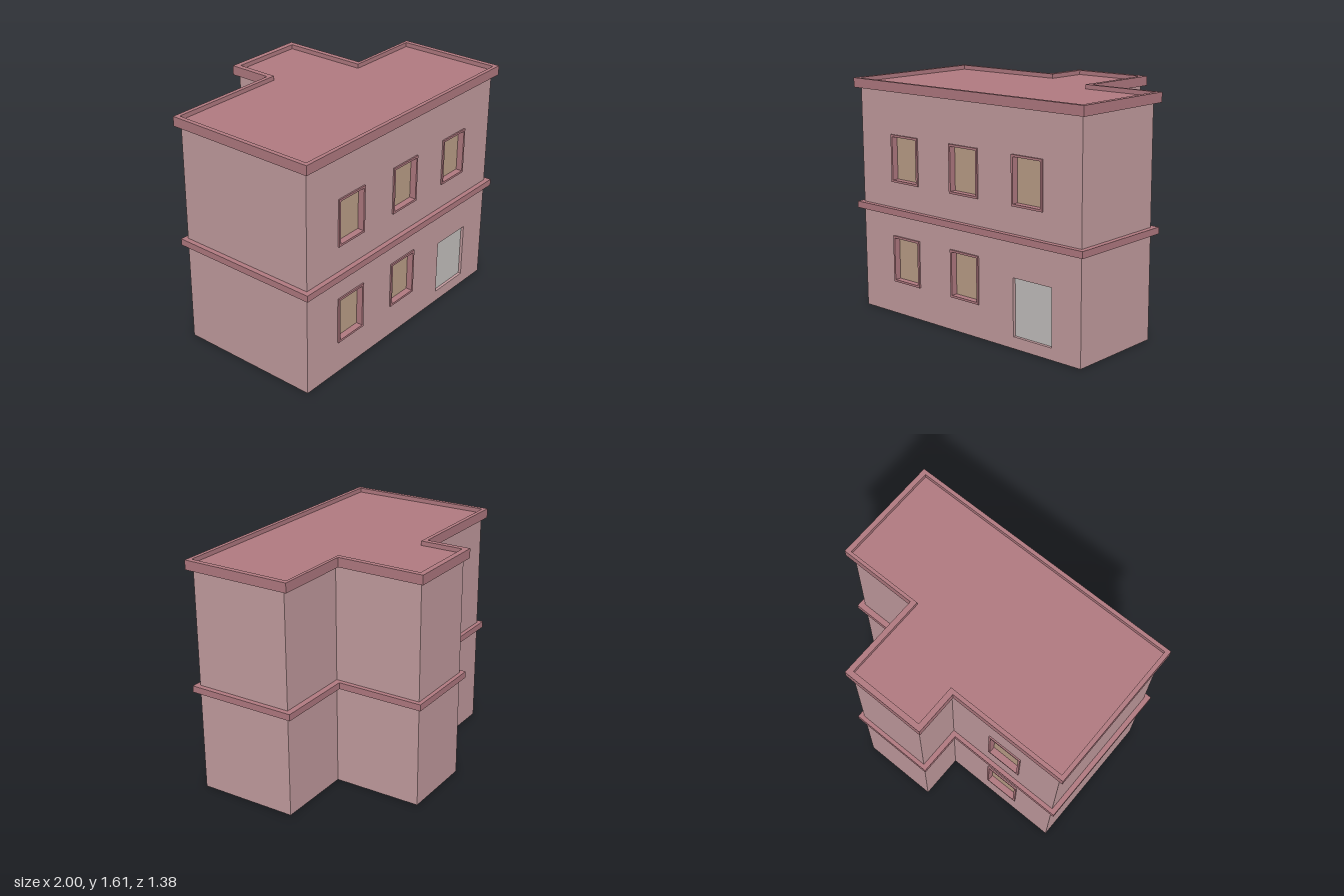
import * as THREE from 'three';

const material = (name, color) => {
  const m = new THREE.MeshStandardMaterial({ color });
  m.name = name;
  return m;
};

// Stepped footprint: main block with a rear wing. Shape y is -z.
function footprint({ x0, x1, front, wing0, wing1, back, backL, backR }) {
  return [
    [x0, front], [x1, front], [x1, backR], [wing1, backR],
    [wing1, back], [wing0, back], [wing0, backL], [x0, backL],
  ].map(([x, z]) => new THREE.Vector2(x, -z));
}

function rect(x0, y0, x1, y1) {
  return [[x0, y0], [x1, y0], [x1, y1], [x0, y1]].map(([x, y]) => new THREE.Vector2(x, y));
}

function shapeOf(outline, holes = []) {
  const shape = new THREE.Shape(outline);
  holes.forEach((h) => shape.holes.push(new THREE.Path(h)));
  return shape;
}

const extrude = (shape, depth) => new THREE.ExtrudeGeometry(shape, { depth, bevelEnabled: false });

export function createModel() {
  const wall = material('wall pink', 0xc49da0);
  const trim = material('trim rose', 0xb17a81);
  const glass = material('window tan', 0xbda089);
  const doorGrey = material('door grey', 0xc5c1bf);

  const model = new THREE.Group();
  model.name = 'house';

  const add = (name, geometry, mat, parent = model) => {
    const mesh = new THREE.Mesh(geometry, mat);
    mesh.name = name;
    parent.add(mesh);
    return mesh;
  };
  // Horizontal slab between two heights
  const slab = (name, shape, y0, y1, mat) => {
    const geometry = extrude(shape, y1 - y0);
    geometry.rotateX(-Math.PI / 2);
    add(name, geometry, mat).position.y = y0;
  };

  const T = 0.05; // thickness of the pierced walls
  const H = 1.55;
  const walls = { x0: -0.965, x1: 0.965, front: 0.655, wing0: -0.115, wing1: 0.418, back: -0.665, backL: -0.353, backR: -0.042 };
  const eaves = { x0: -1, x1: 1, front: 0.69, wing0: -0.15, wing1: 0.45, back: -0.693, backL: -0.382, backR: -0.083 };
  const inner = { x0: -0.97, x1: 0.965, front: 0.663, wing0: -0.112, wing1: 0.413, back: -0.655, backL: -0.354, backR: -0.06 };

  // Solid core, set back behind the pierced walls
  const core = { ...walls, front: walls.front - T, backL: walls.backL + T };
  slab('wallCore', shapeOf(footprint(core)), 0, H, wall);

  // Storey band, roof and parapet
  slab('storeyBand', shapeOf(footprint(eaves)), 0.705, 0.75, trim);
  slab('roof', shapeOf(footprint(inner)), 1.545, 1.58, trim);
  slab('parapet', shapeOf(footprint(eaves), [footprint(inner)]), 1.545, 1.61, trim);

  // Openings
  const W = 0.252, WH = 0.325, F = 0.015;
  const rows = [0.228, 0.928];
  const opening = (x, y) => rect(x - W / 2, y, x + W / 2, y + WH);
  const frontWindows = [[-0.546, 0], [-0.001, 0], [-0.546, 1], [-0.001, 1], [0.539, 1]]
    .map(([x, row]) => [x, rows[row]]);
  const backWindows = rows.map((y) => [0.546, y]); // x is mirrored on the turned wall
  const door = [0.42, 0.08, 0.735, 0.467];

  // A pierced wall with its framed windows, facing local +z
  function facade(name, x0, x1, windows, extraHoles) {
    const group = new THREE.Group();
    group.name = name;
    const holes = [...windows.map(([x, y]) => opening(x, y)), ...extraHoles];
    add('piercedWall', extrude(shapeOf(rect(x0, 0, x1, H), holes), T), wall, group).position.z = -T;
    for (const [x, y] of windows) {
      const pane = rect(x - W / 2 + F, y + F, x + W / 2 - F, y + WH - F);
      const frame = extrude(shapeOf(opening(x, y), [pane]), T + 0.01);
      add('windowFrame', frame, trim, group).position.z = -T;
      const sheet = new THREE.BoxGeometry(W - 2 * F, WH - 2 * F, 0.008);
      add('windowPane', sheet, glass, group).position.set(x, y + WH / 2, -0.039);
    }
    model.add(group);
    return group;
  }

  const front = facade('frontFacade', walls.x0, walls.x1, frontWindows, [rect(...door)]);
  front.position.z = walls.front;

  const back = facade('backFacade', -walls.wing0, -walls.x0, backWindows, []);
  back.rotation.y = Math.PI;
  back.position.z = walls.backL;

  // Recessed door
  const [dx0, dy0, dx1, dy1] = door;
  add('door', new THREE.BoxGeometry(dx1 - dx0, dy1 - dy0, 0.03), doorGrey, front)
    .position.set((dx0 + dx1) / 2, (dy0 + dy1) / 2, -0.035);

  return model;
}
